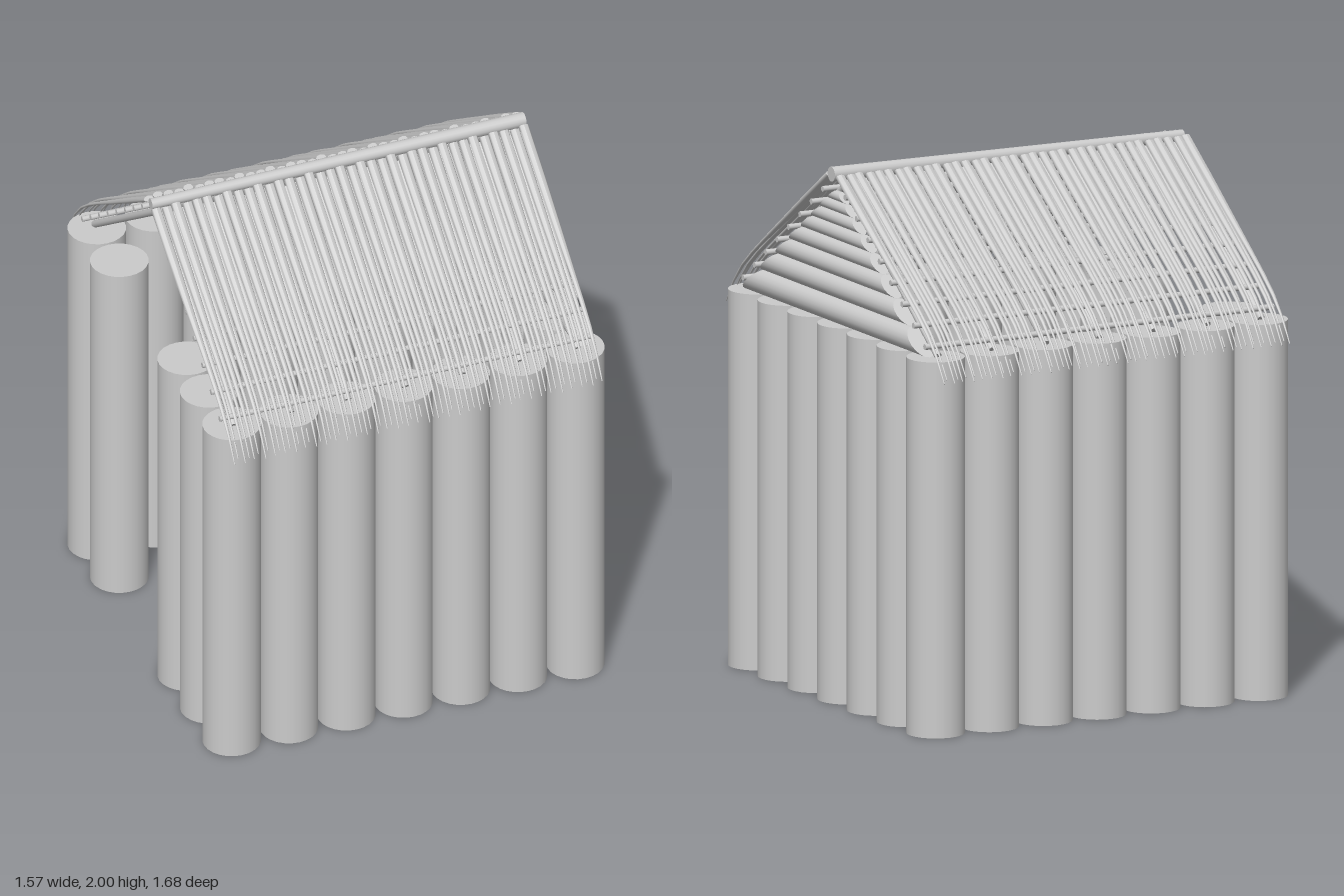
import * as THREE from 'three';

const grey = new THREE.MeshStandardMaterial({ color: 0xcccccc });

function add(parent, name, geometry, x = 0, y = 0, z = 0) {
  const mesh = new THREE.Mesh(geometry, grey);
  mesh.name = name;
  mesh.position.set(x, y, z);
  parent.add(mesh);
  return mesh;
}

// Round pole between two points, with a radius for each end
function pole(parent, name, a, b, ra, rb = ra, sides = 12) {
  const dir = b.clone().sub(a);
  const mesh = add(parent, name, new THREE.CylinderGeometry(rb, ra, dir.length(), sides));
  mesh.position.copy(a).add(b).multiplyScalar(0.5);
  mesh.quaternion.setFromUnitVectors(new THREE.Vector3(0, 1, 0), dir.normalize());
}

// Cane bent over the eave: a cylinder carried along a path and tapered to a tip
function caneGeometry(points, radii, flatten) {
  const path = new THREE.CatmullRomCurve3(points.map(([z, y]) => new THREE.Vector3(0, y, z)));
  const geo = new THREE.CylinderGeometry(1, 1, 1, 8, 10);
  const pos = geo.attributes.position;
  for (let i = 0; i < pos.count; i++) {
    const t = THREE.MathUtils.clamp(0.5 - pos.getY(i), 0, 1);
    const c = path.getPointAt(t);
    const up = path.getTangentAt(t).negate();
    const k = t * (radii.length - 1);
    const j = Math.min(Math.floor(k), radii.length - 2);
    const r = THREE.MathUtils.lerp(radii[j], radii[j + 1], k - j);
    const h = pos.getZ(i) * r * flatten;
    pos.setXYZ(i, pos.getX(i) * r, c.y - up.z * h, c.z + up.y * h);
  }
  geo.computeVertexNormals();
  return geo;
}

// Gable log lying along z, its ends cut to the roof slope
function gableLogGeometry(y, r) {
  const geo = new THREE.CylinderGeometry(r, r, 1, 18);
  geo.rotateX(Math.PI / 2);
  const pos = geo.attributes.position;
  for (let i = 0; i < pos.count; i++) {
    const half = Math.max(0.004, (1.918 - (y + pos.getY(i))) * 1.36);
    pos.setZ(i, Math.sign(pos.getZ(i)) * half);
  }
  geo.computeVertexNormals();
  return geo;
}

export function createModel() {
  const model = new THREE.Group();
  model.name = 'logHut';
  const V = (x, y, z) => new THREE.Vector3(x, y, z);

  // Wall posts around the square, with a two-post doorway on the -x side
  const walls = new THREE.Group();
  walls.name = 'walls';
  model.add(walls);
  const postGeo = new THREE.CylinderGeometry(0.108, 0.108, 1.41, 24);
  const step = 0.2255;
  for (let i = -3; i <= 3; i++) {
    for (let j = -3; j <= 3; j++) {
      const edge = Math.abs(i) === 3 || Math.abs(j) === 3;
      const doorway = i === -3 && (j === -1 || j === 0);
      if (edge && !doorway) add(walls, 'wallPost', postGeo, i * step, 0.705, j * step);
    }
  }

  // Stacked gable logs, thinner towards the peak
  const gable = new THREE.Group();
  gable.name = 'gable';
  model.add(gable);
  for (let y = 1.412, r = 0.047; y + 2 * r < 1.92; y += 2 * r, r *= 0.875) {
    add(gable, 'gableLog', gableLogGeometry(y + r, r), 0.708, y + r, 0);
  }

  // Cane shapes: broad upper layer and thin spikes in the gaps below
  const broad = caneGeometry(
    [[0.04, 1.968], [0.35, 1.755], [0.67, 1.53], [0.76, 1.445], [0.832, 1.34]],
    [0.0195, 0.0185, 0.015, 0.0105, 0.008, 0.002], 0.6);
  const thin = caneGeometry(
    [[0.05, 1.955], [0.35, 1.745], [0.67, 1.52], [0.755, 1.435], [0.815, 1.35]],
    [0.006, 0.009, 0.011, 0.009, 0.006, 0.002], 0.6);

  // Two matching roof slopes
  for (const side of [1, -1]) {
    const slope = new THREE.Group();
    slope.name = side > 0 ? 'frontRoofSlope' : 'backRoofSlope';
    if (side < 0) slope.rotation.y = Math.PI;
    model.add(slope);

    for (let i = -3; i <= 3; i++) {
      pole(slope, 'rafter', V(i * step, 1.415, 0.695), V(i * step, 1.928, 0), 0.014);
    }
    for (let i = 0; i < 8; i++) {
      const y = 1.453 + i * 0.0638, z = 0.69 - i * 0.0864;
      pole(slope, 'batten', V(-0.73, y, z), V(0.73, y, z), 0.011, 0.011, 10);
    }
    const count = 37, gap = 1.45 / (count - 1);
    for (let i = 0; i < count; i++) {
      const x = -0.725 + i * gap;
      add(slope, 'roofCane', broad, x, 0, 0.008 * Math.sin(i * 2.4));
      if (i < count - 1) add(slope, 'roofSpike', thin, x + gap / 2, 0, 0.01 * Math.sin(i * 1.7));
    }
  }

  // Ridge pole, slightly thicker at one end
  pole(model, 'ridgePole', V(-0.73, 1.966, 0), V(0.74, 1.972, 0), 0.021, 0.028, 16);

  return model;
}
